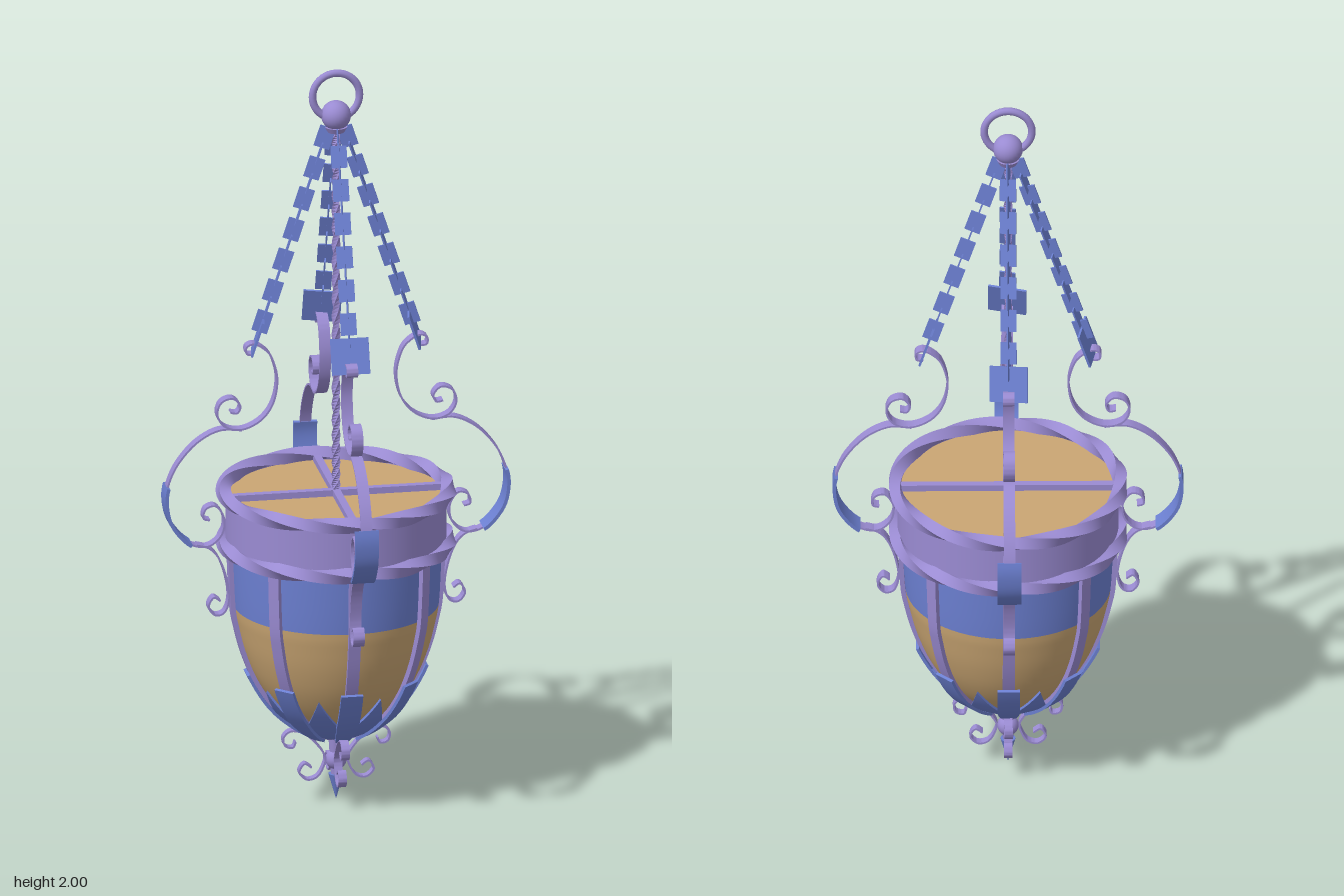
import * as THREE from 'three';
import { toCreasedNormals } from 'three/addons/utils/BufferGeometryUtils.js';

const mat = (color) => new THREE.MeshStandardMaterial({ color, side: THREE.DoubleSide });
const iron = mat(0x9a8bd2), blue = mat(0x6c80d2), amber = mat(0xcaa673);

function add(parent, name, geometry, material, x = 0, y = 0, z = 0) {
  const mesh = new THREE.Mesh(geometry, material);
  mesh.name = name;
  mesh.position.set(x, y, z);
  parent.add(mesh);
  return mesh;
}

// Rectangular bar swept along a path in the xy plane; width runs along z.
// lift moves the bar to the right of the path, twist turns it as it goes.
function sweep(path, steps, width, thick, { lift = 0, twist = 0, from = 0, to = 1 } = {}) {
  const rings = [], pos = [], B = new THREE.Vector3(0, 0, 1);
  for (let i = 0; i <= steps; i++) {
    const t = i / steps, u = from + (to - from) * t;
    const p = path.getPoint(u), tan = path.getTangent(u);
    const N = new THREE.Vector3(-tan.y, tan.x, 0);
    const w = (typeof width === 'function' ? width(t) : width) / 2, h = thick / 2;
    const c = Math.cos(twist * t), s = Math.sin(twist * t);
    rings.push([[h, w], [-h, w], [-h, -w], [h, -w]].map(([a, b]) =>
      new THREE.Vector3(p.x, p.y, 0).addScaledVector(N, a * c - b * s - lift).addScaledVector(B, a * s + b * c)));
  }
  const quad = (a, b, c, d) => [a, b, c, a, c, d].forEach((v) => pos.push(v.x, v.y, v.z));
  for (let i = 0; i < steps; i++)
    for (let j = 0; j < 4; j++) {
      const k = (j + 1) % 4;
      quad(rings[i][j], rings[i][k], rings[i + 1][k], rings[i + 1][j]);
    }
  const e = rings[steps], f = rings[0];
  quad(e[0], e[1], e[2], e[3]);
  quad(f[3], f[2], f[1], f[0]);
  const g = new THREE.BufferGeometry();
  g.setAttribute('position', new THREE.Float32BufferAttribute(pos, 3));
  return toCreasedNormals(g, 0.6);
}

const spline = (pts) => new THREE.SplineCurve(pts.map(([x, y]) => new THREE.Vector2(x, y)));

// Repeats a part around the vertical axis
function around(parent, name, count, build, offset = 0) {
  for (let i = 0; i < count; i++) {
    const g = new THREE.Group();
    g.name = name;
    g.rotation.y = offset + (i * Math.PI * 2) / count;
    build(g);
    parent.add(g);
  }
}

export function createModel() {
  const model = new THREE.Group();
  model.name = 'hangingLantern';

  // Hanging ring, ball and twisted centre rod
  add(model, 'hangingRing', new THREE.TorusGeometry(0.062, 0.01, 10, 40), iron, 0, 1.928);
  add(model, 'topBall', new THREE.SphereGeometry(0.039, 24, 16), iron, 0, 1.875);
  add(model, 'topCollar', new THREE.CylinderGeometry(0.03, 0.022, 0.015, 20), iron, 0, 1.837);
  add(model, 'centreRod', sweep(spline([[0, 0.83], [0, 1.85]]), 120, 0.016, 0.016, { twist: 40 }), iron);

  // Bowl: amber glass below a blue band
  const bowl = spline([[0.001, 0.185], [0.05, 0.19], [0.105, 0.22], [0.165, 0.275], [0.21, 0.345],
    [0.24, 0.42], [0.258, 0.49], [0.267, 0.54], [0.272, 0.63], [0.275, 0.72]]);
  const part = (a, b, n) => Array.from({ length: n + 1 }, (_, i) => bowl.getPoint(a + ((b - a) * i) / n));
  add(model, 'glassBowl', new THREE.LatheGeometry(part(0, 7 / 9, 28), 64), amber);
  add(model, 'blueBand', new THREE.LatheGeometry(part(7 / 9, 1, 6), 64), blue);

  // Rim drum, twisted ropes, lid and its cross bars
  add(model, 'rimBand', new THREE.CylinderGeometry(0.287, 0.287, 0.13, 64, 1, true), iron, 0, 0.78);
  add(model, 'lid', new THREE.CylinderGeometry(0.284, 0.284, 0.01, 64), amber, 0, 0.828);
  const circle = new THREE.EllipseCurve(0, 0, 0.292, 0.292);
  for (const y of [0.71, 0.848]) {
    const rope = add(model, 'twistedRope', sweep(circle, 160, 0.03, 0.03, { twist: Math.PI * 5 }), iron, 0, y);
    rope.rotation.x = -Math.PI / 2;
  }
  around(model, 'lidBars', 4, (g) => {
    add(g, 'lidBar', new THREE.BoxGeometry(0.28, 0.02, 0.02), iron, 0.14, 0.84);
  });

  // Ribs with leaves at their feet, and pointed leaves between them
  around(model, 'rib', 8, (g) => {
    add(g, 'ribStrap', sweep(bowl, 32, 0.032, 0.012, { lift: 0.006, from: 0.08 }), iron);
    add(g, 'ribLeaf', sweep(bowl, 12, (t) => 0.03 + 0.028 * Math.min(1, t * 2), 0.008,
      { lift: 0.016, from: 1.3 / 9, to: 4.3 / 9 }), blue);
  });
  around(model, 'pointedLeaf', 8, (g) => {
    add(g, 'leaf', sweep(bowl, 16, (t) => Math.min(0.03 + 0.17 * t, 0.23 * (1 - t)), 0.006,
      { lift: 0.008, from: 0.5 / 9, to: 3.9 / 9 }), blue);
  }, Math.PI / 8);

  // Scroll arms
  const innerScroll = spline([[0.22, 1.235], [0.237, 1.238], [0.238, 1.256], [0.22, 1.264], [0.195, 1.252], [0.172, 1.225],
    [0.157, 1.165], [0.168, 1.1], [0.2, 1.055], [0.25, 1.032], [0.295, 1.042], [0.315, 1.075], [0.305, 1.108],
    [0.275, 1.118], [0.255, 1.098], [0.262, 1.078], [0.28, 1.08]]);
  const outerScroll = spline([[0.25, 1.03], [0.31, 1.033], [0.37, 1.002], [0.42, 0.945], [0.446, 0.885], [0.45, 0.835],
    [0.435, 0.78], [0.39, 0.728], [0.34, 0.717], [0.305, 0.745], [0.297, 0.79], [0.318, 0.825], [0.345, 0.82],
    [0.352, 0.795], [0.335, 0.788]]);
  const lowerScroll = spline([[0.37, 0.722], [0.335, 0.71], [0.31, 0.68], [0.292, 0.63], [0.284, 0.575],
    [0.295, 0.535], [0.32, 0.527], [0.338, 0.55], [0.325, 0.575], [0.307, 0.565]]);
  around(model, 'scrollArm', 4, (g) => {
    add(g, 'innerScroll', sweep(innerScroll, 96, 0.03, 0.005), iron);
    add(g, 'outerScroll', sweep(outerScroll, 96, 0.03, 0.005), iron);
    add(g, 'lowerScroll', sweep(lowerScroll, 60, 0.03, 0.005), iron);
    add(g, 'armLeaf', sweep(outerScroll, 16, 0.062, 0.009, { from: 4 / 14, to: 7.1 / 14 }), blue);
  });

  // Chains of alternating flat links ending in a wide plate
  around(model, 'chain', 4, (g) => {
    const links = new THREE.Group();
    links.name = 'chainLinks';
    links.position.set(0.222, 1.235, 0);
    links.rotation.z = Math.atan2(0.2, 0.605);
    g.add(links);
    const plate = add(links, 'endPlate', new THREE.BoxGeometry(0.006, 0.095, 0.1), blue, 0, 0.05);
    plate.rotation.y = -0.2;
    for (let i = 0; i < 13; i++) {
      const link = add(links, 'link', new THREE.BoxGeometry(0.004, 0.058, 0.042), blue, 0, 0.09 + i * 0.0435);
      link.rotation.y = -0.2 + (i % 2 ? 0 : Math.PI / 2);
    }
  });

  // Bottom finial
  add(model, 'finialStem', new THREE.CylinderGeometry(0.022, 0.012, 0.15, 16), iron, 0, 0.125);
  add(model, 'finialBall', new THREE.SphereGeometry(0.028, 20, 14), iron, 0, 0.11);
  const tip = add(model, 'finialTip', new THREE.ConeGeometry(0.02, 0.07, 12), blue, 0, 0.035);
  tip.rotation.x = Math.PI;
  const finialScroll = spline([[0.108, 0.165], [0.115, 0.15], [0.135, 0.155], [0.14, 0.178], [0.12, 0.195],
    [0.085, 0.186], [0.052, 0.155], [0.03, 0.12], [0.036, 0.09], [0.052, 0.066], [0.078, 0.06], [0.098, 0.08],
    [0.085, 0.103], [0.066, 0.092]]);
  around(model, 'finialScroll', 4, (g) => {
    add(g, 'scroll', sweep(finialScroll, 72, 0.022, 0.005), iron);
  });

  return model;
}
